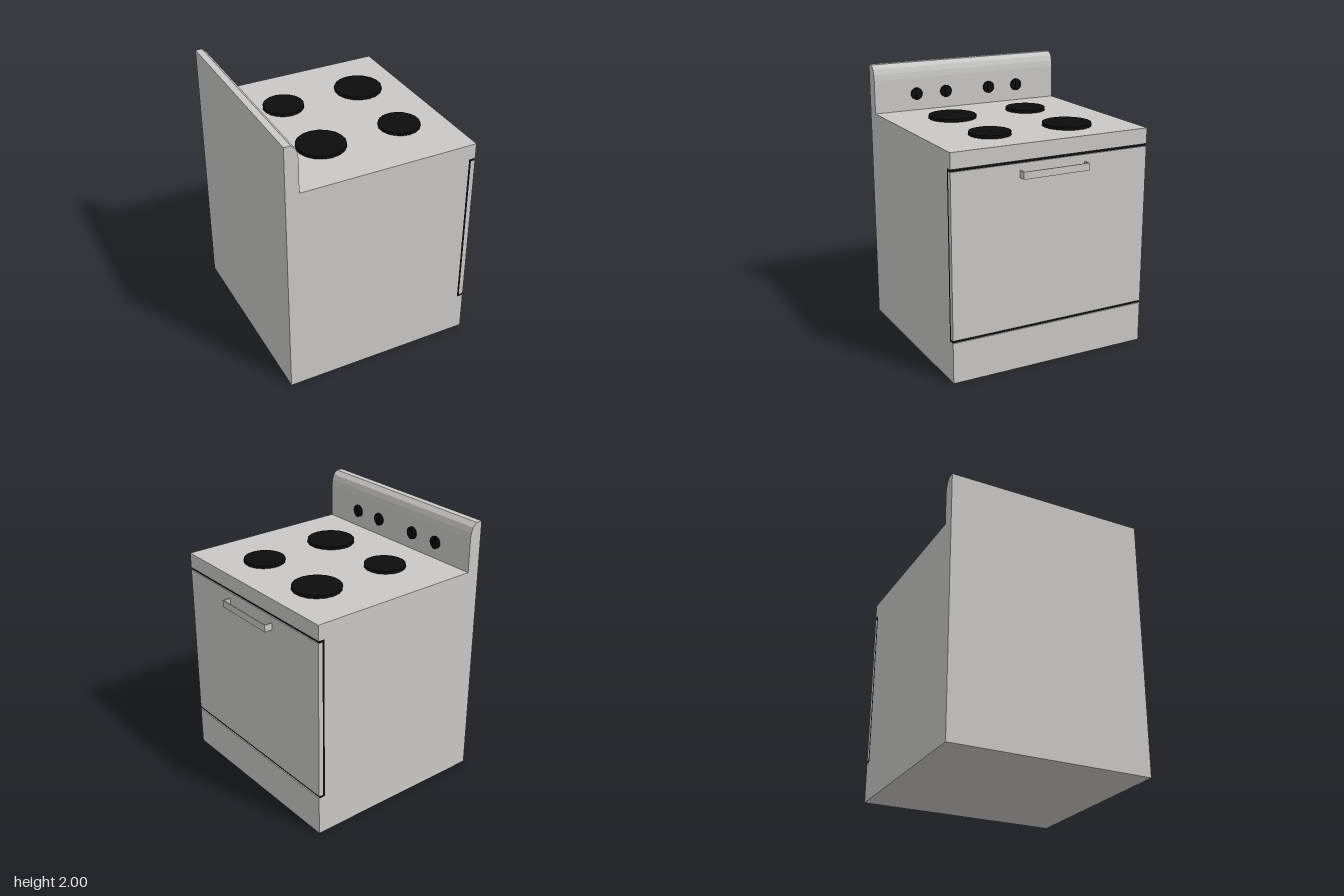
import * as THREE from 'three';

export function createModel() {
  const stove = new THREE.Group();
  stove.name = 'stove';
  const enamel = new THREE.MeshStandardMaterial({ color: 0xc9c8c6 });
  enamel.name = 'grey enamel';
  const black = new THREE.MeshStandardMaterial({ color: 0x0d0d0d });
  black.name = 'black';
  const halfWidth = 0.767;

  const add = (name, geometry, material, x = 0, y = 0, z = 0, parent = stove) => {
    const mesh = new THREE.Mesh(geometry, material);
    mesh.name = name;
    mesh.position.set(x, y, z);
    parent.add(mesh);
    return mesh;
  };
  const extrude = (points, depth) => {
    const shape = new THREE.Shape(points.map(([x, y]) => new THREE.Vector2(x, y)));
    return new THREE.ExtrudeGeometry(shape, { depth, bevelEnabled: false })
      .translate(0, 0, -depth / 2);
  };

  // Cabinet, cooktop and backsplash share one side profile
  add('cabinet', extrude([
    [-0.75, 0], [0.69, 0], [0.69, 0.3], [0.64, 0.3], [0.64, 1.523], [0.69, 1.523],
    [0.69, 1.637], [-0.65, 1.637], [-0.65, 1.885], [-0.655, 1.93], [-0.668, 1.97],
    [-0.7, 2], [-0.75, 2],
  ], 2 * halfWidth), enamel);

  // Black seal around the door
  add('doorSeal', extrude([
    [0.64, 0.3], [0.681, 0.3], [0.681, 0.318], [0.656, 0.318],
    [0.656, 1.505], [0.681, 1.505], [0.681, 1.523], [0.64, 1.523],
  ], 2 * halfWidth), black);

  add('ovenDoor', new THREE.BoxGeometry(0.034, 1.187, 2 * halfWidth), enamel, 0.673, 0.9115, 0);

  // Thin U-shaped handle
  const handle = extrude([
    [0.688, -0.257], [0.748, -0.257], [0.748, 0.257], [0.688, 0.257],
    [0.688, 0.249], [0.74, 0.249], [0.74, -0.249], [0.688, -0.249],
  ], 0.052).rotateX(Math.PI / 2);
  add('doorHandle', handle, enamel, 0, 1.43, 0);

  // Burners: x, z, radius
  for (const [x, z, r] of [
    [-0.27, -0.311, 0.151], [0.345, -0.311, 0.178],
    [-0.27, 0.305, 0.178], [0.345, 0.305, 0.151],
  ]) add('burner', new THREE.CylinderGeometry(r, r, 0.024, 18), black, x, 1.648, z);

  // Knobs with a raised vertical grip
  for (const z of [-0.43, -0.185, 0.185, 0.43]) {
    const knob = new THREE.Group();
    knob.name = 'knob';
    knob.position.set(-0.65, 1.763, z);
    stove.add(knob);
    const dial = new THREE.CylinderGeometry(0.047, 0.047, 0.014, 16).rotateZ(-Math.PI / 2);
    add('knobDial', dial, black, 0.007, 0, 0, knob);
    add('knobGrip', new THREE.BoxGeometry(0.01, 0.088, 0.022), black, 0.017, 0, 0, knob);
  }
  return stove;
}
